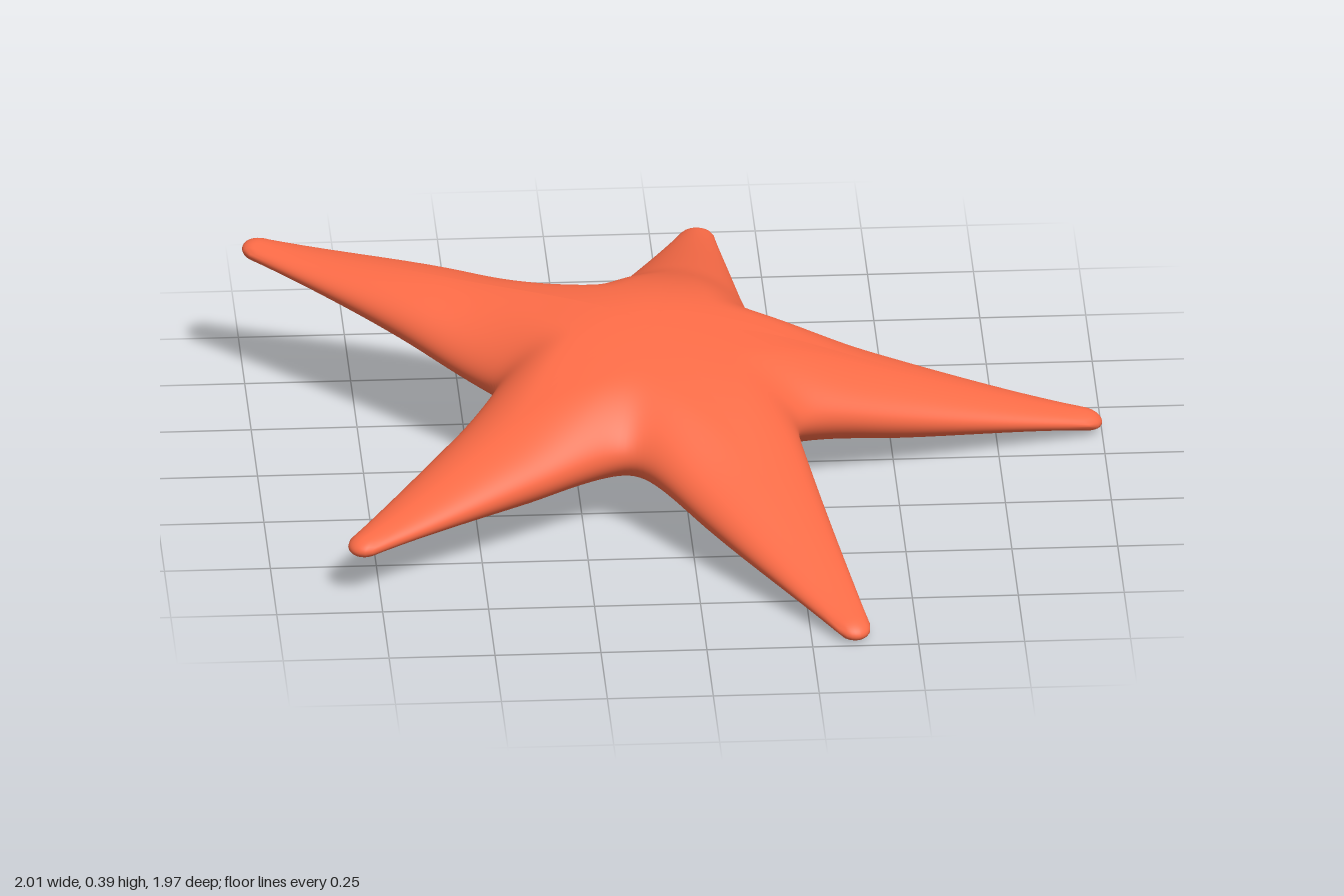
import * as THREE from 'three';

const { clamp, smoothstep } = THREE.MathUtils;
const CENTER = { x: -0.06, y: 0.25, z: 0.015 };
// Arm tips [x, y, z], in order around the body
const TIPS = [
  [1.0, 0.028, -0.125],
  [0.365, 0.017, 0.985],
  [-0.815, 0.126, 0.68],
  [-1.0, 0.347, -0.535],
  [0.1, 0.13, -0.985],
];
const WEB_BLEND = 0.03;    // softness of the corners between arms
const SLOPE_BLEND = 0.09;  // softness of the change in slope between arms
const ROOT_WIDTH = 0.276;
const TIP_WIDTH = 0.042;
const TILT = { x: -0.13, z: -0.1 }; // lean of the central disc

const arms = TIPS.map(([x, y, z]) => {
  const dx = x - CENTER.x, dz = z - CENTER.z, length = Math.hypot(dx, dz);
  let angle = Math.atan2(dz, dx);
  if (angle < -0.5) angle += Math.PI * 2;
  return { angle, length, dx: dx / length, dz: dz / length, slope: (y - CENTER.y) / length };
});

// Blend of all arms at a point relative to the centre: depth inside the outline, local width, slope, length
function sample(x, z) {
  let sum = 0, softSum = 0, width = 0, slope = 0, length = 0;
  for (const arm of arms) {
    const reach = arm.length - TIP_WIDTH;
    const u = clamp(x * arm.dx + z * arm.dz, 0, reach);
    const w = TIP_WIDTH + (ROOT_WIDTH - TIP_WIDTH) * (1 - u / reach);
    const inside = w - Math.hypot(x - u * arm.dx, z - u * arm.dz);
    const e = Math.exp(inside / WEB_BLEND);
    const soft = Math.exp(inside / SLOPE_BLEND);
    sum += e;
    softSum += soft;
    width += e * w;
    slope += soft * arm.slope;
    length += soft * arm.length;
  }
  return {
    depth: WEB_BLEND * Math.log(sum),
    width: width / sum,
    slope: slope / softSum,
    length: length / softSum,
  };
}

// Distance from the centre to the outline in one direction
function outlineRadius(angle) {
  const c = Math.cos(angle), s = Math.sin(angle);
  let low = 0.2, high = 1.3;
  for (let i = 0; i < 40; i++) {
    const mid = (low + high) / 2;
    if (sample(c * mid, s * mid).depth > 0) low = mid;
    else high = mid;
  }
  return low;
}

// Directions around the body, denser along each arm
function columnAngles(perHalf) {
  const angles = [];
  arms.forEach((arm, i) => {
    const before = arms[(i + 4) % 5].angle - (i === 0 ? Math.PI * 2 : 0);
    const after = arms[(i + 1) % 5].angle + (i === 4 ? Math.PI * 2 : 0);
    for (let k = -perHalf; k < perHalf; k++) {
      const t = k / perHalf;
      const half = (t < 0 ? arm.angle - before : after - arm.angle) / 2;
      angles.push(arm.angle + half * Math.sign(t) * Math.abs(t) ** 1.8);
    }
  });
  return angles;
}

// Middle height and half thickness of the body at a point relative to the centre
function section(x, z, r, onRim) {
  const p = sample(x, z);
  // The disc is a tilted dome that runs over into the slope of each arm
  const disc = TILT.x * x + TILT.z * z;
  const middle = CENTER.y + disc + (p.slope * r - disc) * smoothstep(r, 0, 0.55);
  // Full, flat-topped disc; rounded arms
  const roundWidth = p.width * (0.6 + 0.4 * smoothstep(r, 0.2, 0.5));
  const edge = onRim ? 0 : clamp(p.depth / roundWidth, 0, 1);
  const taper = Math.max(0, 1 - (r / p.length) ** 2);
  const half = (0.023 + 0.107 * taper ** 1.8) * Math.sqrt(1 - (1 - edge) ** 2);
  return { middle, half };
}

function starfishGeometry() {
  const rings = 44;
  const rows = rings * 2 + 1;
  const angles = columnAngles(28);
  const positions = [], indices = [];
  angles.forEach((angle, c) => {
    const radius = outlineRadius(angle);
    const next = (c + 1) % angles.length;
    // From the top centre over the rim to the underside centre
    for (let i = 0; i < rows; i++) {
      const j = i <= rings ? i : rings * 2 - i;
      const r = radius * (1 - (1 - j / rings) ** 2);
      const x = Math.cos(angle) * r, z = Math.sin(angle) * r;
      const { middle, half } = section(x, z, r, j === rings);
      positions.push(CENTER.x + x, middle + (i <= rings ? half : -half), CENTER.z + z);
      const a = c * rows + i, d = next * rows + i;
      if (i > 0 && i < rows - 1) indices.push(a, d, a + 1);
      if (i < rows - 2) indices.push(a + 1, d, d + 1);
    }
  });
  const geometry = new THREE.BufferGeometry();
  geometry.setAttribute('position', new THREE.Float32BufferAttribute(positions, 3));
  geometry.setIndex(indices);
  geometry.computeVertexNormals();
  // One shared normal at each centre, square to the tilted disc
  const up = new THREE.Vector3(-TILT.x, 1, -TILT.z).normalize();
  const normal = geometry.attributes.normal;
  for (let c = 0; c < angles.length; c++) {
    normal.setXYZ(c * rows, up.x, up.y, up.z);
    normal.setXYZ(c * rows + rows - 1, -up.x, -up.y, -up.z);
  }
  return geometry;
}

export function createModel() {
  const group = new THREE.Group();
  group.name = 'starfish';
  const material = new THREE.MeshStandardMaterial({ color: 0xfd6c47 });
  const body = new THREE.Mesh(starfishGeometry(), material);
  body.name = 'starfishBody';
  group.add(body);
  return group;
}
